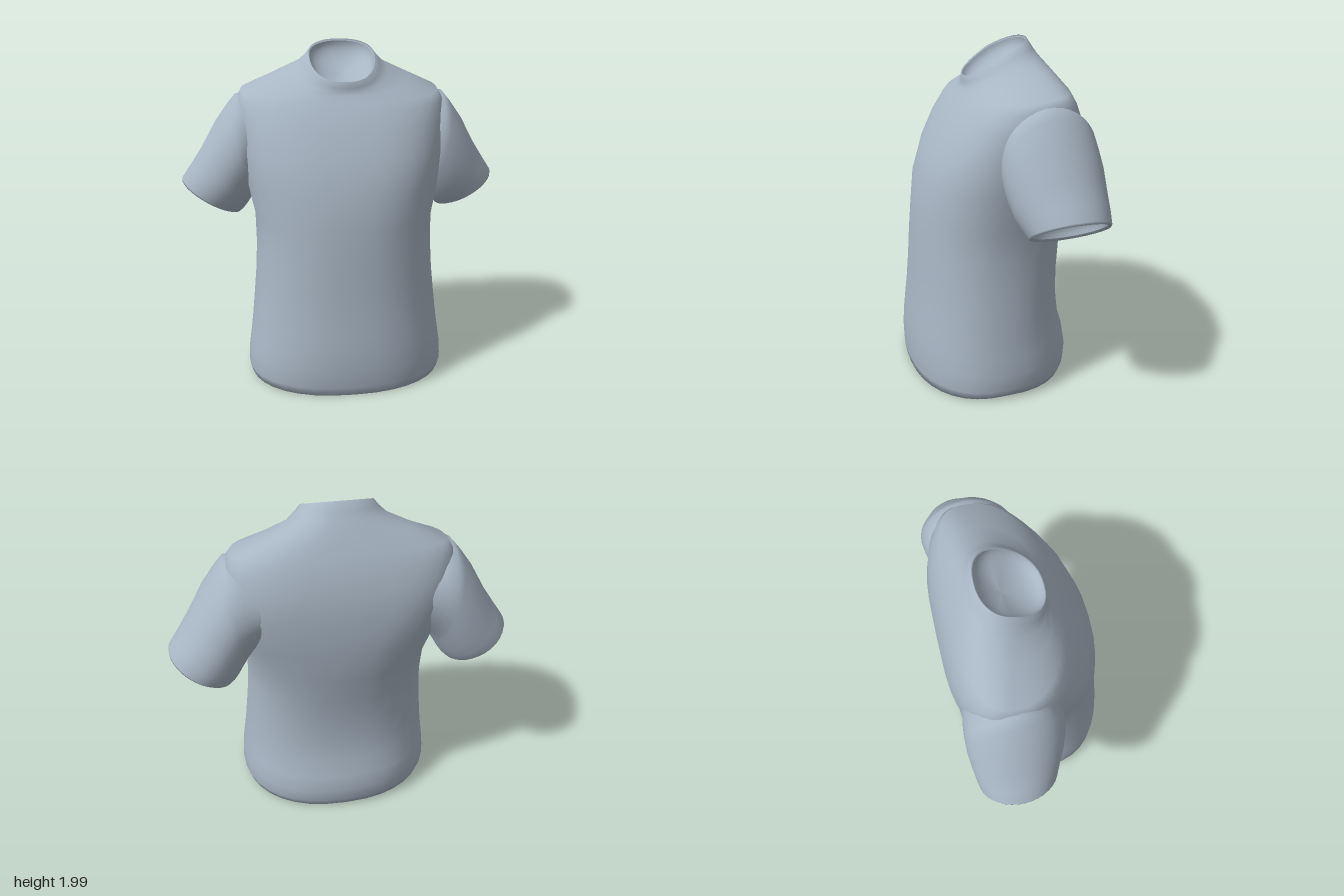
import * as THREE from 'three';

const SEG = 36;

// Surface through a list of closed rings; rings share vertices so shading is smooth
function loft(rings) {
  const pos = [], index = [];
  rings.forEach(r => r.forEach(p => pos.push(p.x, p.y, p.z)));
  for (let i = 0; i < rings.length - 1; i++) {
    for (let j = 0; j < SEG; j++) {
      const k = (j + 1) % SEG, a = i * SEG, b = a + SEG;
      index.push(a + j, b + j, a + k, a + k, b + j, b + k);
    }
  }
  const g = new THREE.BufferGeometry();
  g.setAttribute('position', new THREE.Float32BufferAttribute(pos, 3));
  g.setIndex(index);
  g.computeVertexNormals();
  return g;
}

const curvePow = (v, n) => Math.sign(v) * Math.pow(Math.abs(v), 2 / n);

// Body ring through a front, side and back point, squarer across the shoulder blades
function bodyRing([w, ySide, zSide, yFront, zFront, yBack, zBack]) {
  const blades = Math.exp(-(((ySide - 1.46) / 0.22) ** 2));
  return Array.from({ length: SEG }, (_, j) => {
    const a = (j / SEG) * Math.PI * 2, front = Math.sin(a) > 0;
    const n = 2.3 + blades * (front ? 0.3 : 1.4);
    const m = Math.abs(curvePow(Math.sin(a), n));
    const y = front ? yFront : yBack, z = front ? zFront : zBack;
    return new THREE.Vector3(w * curvePow(Math.cos(a), n),
      ySide + (y - ySide) * m, zSide + (z - zSide) * m);
  });
}

// Sleeve ring given its top and underside points and its z range
function sleeveRing([xTop, yTop, xLow, yLow, zFront, zBack], side) {
  return Array.from({ length: SEG }, (_, j) => {
    const a = (j / SEG) * Math.PI * 2, c = (1 + Math.cos(a)) / 2;
    return new THREE.Vector3(side * (xLow + (xTop - xLow) * c), yLow + (yTop - yLow) * c,
      (zFront + zBack) / 2 - side * Math.sin(a) * (zFront - zBack) / 2);
  });
}

// Ring scaled about its centre and shifted
function inset(ring, scale, shift) {
  const c = new THREE.Vector3();
  ring.forEach(p => c.addScaledVector(p, 1 / SEG));
  return ring.map(p => p.clone().sub(c).multiplyScalar(scale).add(c).add(shift));
}

// Rounded hollow running inward from an opening
function hollow(ring, depth) {
  return Array.from({ length: 9 }, (_, k) => {
    const t = (k / 8) * Math.PI / 2;
    return inset(ring, Math.max(Math.cos(t), 0.001), depth.clone().multiplyScalar(Math.sin(t)));
  });
}

export function createModel() {
  const model = new THREE.Group();
  model.name = 'shirt';
  const fabric = new THREE.MeshStandardMaterial({ color: 0xa8b6c4, side: THREE.DoubleSide });
  fabric.name = 'greyBlueFabric';
  const add = (name, rings, parent = model) => {
    const mesh = new THREE.Mesh(loft(rings), fabric);
    mesh.name = name;
    parent.add(mesh);
  };

  // Torso: half width, side y, side z, front y, front z, back y, back z
  const torso = [
    [0.59, 0.03, 0.05, 0.008, 0.475, 0.02, -0.455],
    [0.603, 0.07, 0.05, 0.06, 0.485, 0.07, -0.475],
    [0.598, 0.16, 0.04, 0.17, 0.49, 0.16, -0.483],
    [0.583, 0.26, 0.03, 0.28, 0.485, 0.26, -0.465],
    [0.57, 0.36, 0.02, 0.38, 0.475, 0.36, -0.43],
    [0.555, 0.50, 0.01, 0.50, 0.462, 0.50, -0.412],
    [0.54, 0.65, 0, 0.65, 0.45, 0.65, -0.412],
    [0.53, 0.82, -0.01, 0.82, 0.44, 0.82, -0.425],
    [0.532, 1.00, -0.03, 1.00, 0.425, 1.00, -0.46],
    [0.575, 1.20, -0.07, 1.20, 0.40, 1.20, -0.484],
    [0.60, 1.40, -0.12, 1.38, 0.335, 1.43, -0.486],
    [0.617, 1.57, -0.17, 1.54, 0.255, 1.58, -0.455],
    [0.622, 1.67, -0.18, 1.63, 0.195, 1.68, -0.425],
    [0.59, 1.72, -0.18, 1.675, 0.16, 1.755, -0.39],
    [0.40, 1.80, -0.14, 1.715, 0.13, 1.85, -0.34],
    [0.27, 1.855, -0.11, 1.735, 0.122, 1.91, -0.30],
    [0.222, 1.895, -0.09, 1.755, 0.122, 1.955, -0.272],
    [0.195, 1.925, -0.085, 1.79, 0.118, 2.0, -0.245],
  ].map(bodyRing);

  // Hem and collar edges turn inward into the openings
  const hem = inset(torso[0], 0.95, new THREE.Vector3(0, 0.015, 0));
  const neck = inset(torso[torso.length - 1], 0.96, new THREE.Vector3(0, -0.008, 0));
  add('torso', [hem, ...torso, neck]);
  add('hemLining', hollow(hem, new THREE.Vector3(0, 0.22, 0)).reverse());
  add('neckLining', hollow(neck, new THREE.Vector3(0, -0.09, -0.04)));

  // Sleeves: top x, top y, underside x, underside y, front z, back z
  const sleeve = [
    [0.42, 1.65, 0.44, 1.24, 0.02, -0.43],
    [0.55, 1.69, 0.50, 1.15, 0.07, -0.45],
    [0.625, 1.692, 0.53, 1.10, 0.088, -0.456],
    [0.67, 1.64, 0.54, 1.08, 0.09, -0.458],
    [0.75, 1.53, 0.555, 1.055, 0.083, -0.46],
    [0.84, 1.37, 0.575, 1.02, 0.06, -0.455],
    [0.91, 1.265, 0.60, 0.985, 0.03, -0.448],
    [0.965, 1.185, 0.62, 0.966, 0.008, -0.438],
    [0.965, 1.17, 0.634, 0.968, 0.0, -0.43],
  ];
  for (const side of [1, -1]) {
    const group = new THREE.Group();
    group.name = side > 0 ? 'leftSleeve' : 'rightSleeve';
    model.add(group);
    const rings = sleeve.map(r => sleeveRing(r, side));
    const cuff = inset(rings[rings.length - 1], 0.93, new THREE.Vector3(-0.006 * side, 0.01, 0));
    add('sleeve', [...rings, cuff], group);
    add('sleeveLining', hollow(cuff, new THREE.Vector3(-0.06 * side, 0.1, 0)), group);
  }
  return model;
}
